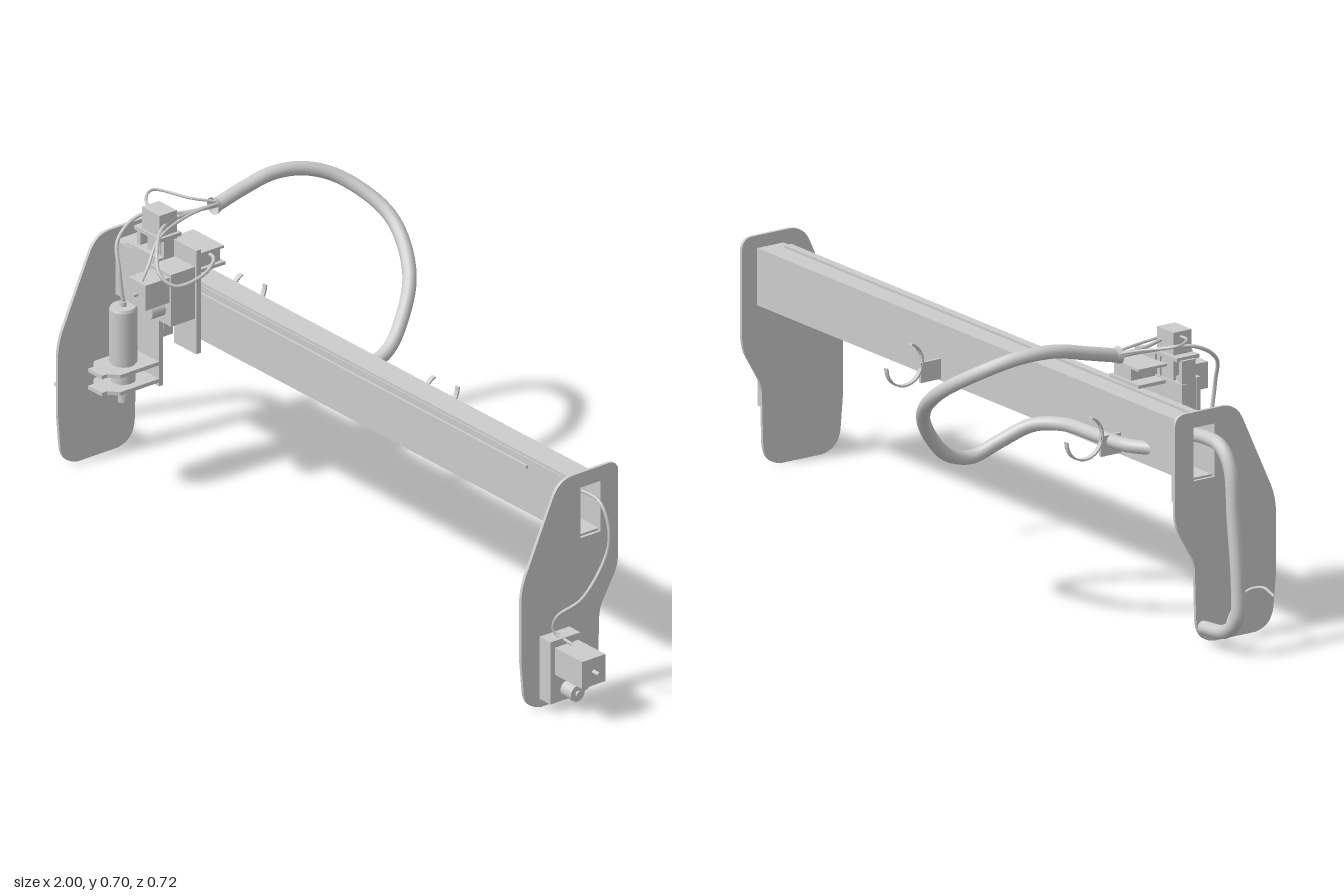
import * as THREE from 'three';

export function createModel() {
  const root = new THREE.Group();
  const mat = new THREE.MeshStandardMaterial({ color: 0xcccccc });
  const thin = new THREE.MeshStandardMaterial({ color: 0xcccccc, side: THREE.DoubleSide });

  const add = (name, geo, m = mat) => {
    const mesh = new THREE.Mesh(geo, m);
    mesh.name = name;
    root.add(mesh);
    return mesh;
  };
  // box from its limits on each axis
  const box = (name, x0, x1, y0, y1, z0, z1) =>
    add(name, new THREE.BoxGeometry(x1 - x0, y1 - y0, z1 - z0))
      .position.set((x0 + x1) / 2, (y0 + y1) / 2, (z0 + z1) / 2);
  // cylinder lying along x, y or z
  const cyl = (name, axis, r, len, x, y, z, r2 = r) => {
    const g = new THREE.CylinderGeometry(r, r2, len, 24);
    if (axis === 'x') g.rotateZ(Math.PI / 2);
    if (axis === 'z') g.rotateX(Math.PI / 2);
    add(name, g).position.set(x, y, z);
  };
  const tube = (name, pts, r, seg = 60, sides = 8) =>
    add(name, new THREE.TubeGeometry(
      new THREE.CatmullRomCurve3(pts.map(p => new THREE.Vector3(...p))), seg, r, sides), thin);
  // side profile given as (z, y), extruded along x
  const rectPath = (P, z0, z1, y0, y1) => {
    const p = new P();
    p.moveTo(-z0, y0); p.lineTo(-z0, y1); p.lineTo(-z1, y1); p.lineTo(-z1, y0);
    p.closePath();
    return p;
  };
  const extrudeX = (name, shape, x0, x1) => {
    const g = new THREE.ExtrudeGeometry(shape, { depth: x1 - x0, bevelEnabled: false, curveSegments: 10 });
    g.rotateY(Math.PI / 2);
    add(name, g).position.x = x0;
  };

  // end plates with rounded outline and cable window
  const plate = new THREE.Shape();
  plate.moveTo(-0.26, 0);
  plate.bezierCurveTo(-0.29, 0.005, -0.31, 0.02, -0.312, 0.06);
  plate.lineTo(-0.318, 0.13);
  plate.lineTo(-0.318, 0.28);
  plate.quadraticCurveTo(-0.317, 0.31, -0.305, 0.34);
  plate.lineTo(-0.225, 0.515);
  plate.quadraticCurveTo(-0.207, 0.554, -0.165, 0.554);
  plate.lineTo(-0.065, 0.554);
  plate.quadraticCurveTo(-0.035, 0.554, -0.035, 0.525);
  plate.lineTo(-0.035, 0.32);
  plate.quadraticCurveTo(-0.036, 0.29, -0.05, 0.267);
  plate.lineTo(-0.08, 0.215);
  plate.quadraticCurveTo(-0.091, 0.195, -0.091, 0.165);
  plate.lineTo(-0.094, 0.06);
  plate.quadraticCurveTo(-0.096, 0.005, -0.146, 0);
  plate.closePath();
  plate.holes.push(rectPath(THREE.Path, 0.087, 0.145, 0.39, 0.517));
  extrudeX('leftEndPlate', plate, 0.834, 0.842);
  extrudeX('rightEndPlate', plate, -0.842, -0.834);

  // hollow cross beam and its rails
  const beam = rectPath(THREE.Shape, 0.077, 0.151, 0.388, 0.524);
  beam.holes.push(rectPath(THREE.Path, 0.085, 0.144, 0.395, 0.518));
  extrudeX('crossBeam', beam, -0.834, 0.834);
  box('topRail', -0.8, 0.8, 0.524, 0.53, 0.128, 0.148);
  box('frontRack', -0.73, 0.66, 0.5, 0.508, 0.151, 0.157);

  // hose hooks behind the beam
  for (const x of [-0.57, 0.127]) {
    box('hookArm', x - 0.004, x + 0.004, 0.392, 0.44, 0.022, 0.077);
    const hook = new THREE.Shape();
    hook.absarc(0.023, 0.443, 0.052, 1.95, Math.PI * 2, false);
    hook.absarc(0.023, 0.443, 0.048, Math.PI * 2, 1.95, true);
    extrudeX('hoseHook', hook, x - 0.006, x + 0.006);
  }

  // drive unit on the left end plate
  box('driveBracket', 0.842, 0.882, 0.022, 0.178, 0.178, 0.265);
  box('driveMotor', 0.882, 0.98, 0.093, 0.161, 0.184, 0.252);
  cyl('driveMotorShaft', 'x', 0.005, 0.025, 0.988, 0.127, 0.218);
  cyl('driveRoller', 'x', 0.02, 0.04, 0.9, 0.049, 0.216);
  cyl('driveRollerPin', 'x', 0.007, 0.008, 0.922, 0.049, 0.216);
  tube('driveCable', [[0.72, 0.47, 0.12], [0.84, 0.495, 0.122], [0.89, 0.488, 0.124], [0.918, 0.43, 0.123],
    [0.918, 0.37, 0.132], [0.915, 0.28, 0.2], [0.87, 0.23, 0.236], [0.858, 0.19, 0.236], [0.9, 0.165, 0.216]], 0.004);

  // x carriage: plate, gearbox, motor and guide block
  box('carriagePlate', -0.7, -0.515, 0.43, 0.57, 0.158, 0.17);
  box('carriageLowerPlate', -0.595, -0.515, 0.36, 0.62, 0.158, 0.172);
  box('carriageGearbox', -0.593, -0.52, 0.448, 0.578, 0.172, 0.242);
  box('carriageMotor', -0.588, -0.525, 0.507, 0.57, 0.242, 0.312);
  cyl('carriageMotorShaft', 'z', 0.005, 0.02, -0.556, 0.538, 0.315);
  cyl('carriageRoller', 'z', 0.018, 0.042, -0.556, 0.483, 0.26);
  box('carriageTopPlate', -0.635, -0.52, 0.558, 0.566, 0.083, 0.172);
  box('carriageTopBlock', -0.595, -0.53, 0.566, 0.602, 0.09, 0.163);
  box('carriageTopLid', -0.635, -0.525, 0.598, 0.604, 0.083, 0.165);

  // vertical slide with its motor
  box('slideBase', -0.695, -0.602, 0.38, 0.58, 0.17, 0.2);
  box('slidePlate', -0.697, -0.6, 0.26, 0.58, 0.2, 0.212);
  for (const x of [-0.697, -0.612]) box('slideRail', x, x + 0.012, 0.4, 0.625, 0.16, 0.198);
  box('slideColumn', -0.66, -0.615, 0.55, 0.625, 0.162, 0.197);
  box('slideMotorFlange', -0.69, -0.595, 0.623, 0.632, 0.15, 0.213);
  box('slideMotor', -0.667, -0.603, 0.632, 0.686, 0.158, 0.208);

  // spindle held by two clamp plates
  const clamp = new THREE.Shape();
  clamp.moveTo(-0.048, -0.2); clamp.lineTo(0.048, -0.2); clamp.lineTo(0.048, -0.325);
  clamp.lineTo(0.025, -0.345); clamp.lineTo(0.025, -0.36); clamp.lineTo(-0.025, -0.36);
  clamp.lineTo(-0.025, -0.345); clamp.lineTo(-0.048, -0.325); clamp.closePath();
  for (const y of [0.27, 0.313]) {
    const g = new THREE.ExtrudeGeometry(clamp, { depth: 0.009, bevelEnabled: false });
    g.rotateX(-Math.PI / 2);
    add('spindleClamp', g).position.set(-0.648, y, 0);
  }
  const spindle = [[0, 0.22], [0.007, 0.22], [0.012, 0.225], [0.012, 0.245], [0.02, 0.247], [0.02, 0.262],
    [0.028, 0.264], [0.028, 0.325], [0.032, 0.327], [0.032, 0.458], [0.029, 0.465], [0, 0.465]];
  // each segment is its own band, which keeps the steps sharp
  for (let i = 0; i < spindle.length - 1; i++)
    add('spindle', new THREE.LatheGeometry(spindle.slice(i, i + 2).map(p => new THREE.Vector2(...p)), 28))
      .position.set(-0.648, 0, 0.278);
  cyl('spindleTopCap', 'y', 0.008, 0.012, -0.648, 0.47, 0.278);

  // main hose looping behind the beam
  tube('mainHose', [[-0.63, 0.648, 0.022], [-0.63, 0.668, -0.06], [-0.622, 0.685, -0.14], [-0.6, 0.68, -0.22],
    [-0.555, 0.65, -0.29], [-0.45, 0.58, -0.342], [-0.335, 0.49, -0.305], [-0.285, 0.405, -0.24],
    [-0.263, 0.355, -0.18], [-0.262, 0.339, -0.115], [-0.285, 0.37, -0.055], [-0.33, 0.41, 0.005],
    [-0.41, 0.424, 0.042], [-0.52, 0.425, 0.05], [-0.62, 0.425, 0.06], [-0.68, 0.427, 0.09]], 0.0165, 90, 12);
  add('hoseCollar', new THREE.CylinderGeometry(0.017, 0.021, 0.014, 16, 1, true).rotateX(-Math.PI / 2), thin)
    .position.set(-0.63, 0.648, 0.024);

  // hose leaving the right end plate
  tube('endHose', [[-0.72, 0.47, 0.12], [-0.84, 0.488, 0.122], [-0.9, 0.48, 0.122], [-0.935, 0.44, 0.122],
    [-0.955, 0.32, 0.118], [-0.975, 0.17, 0.115], [-0.975, 0.09, 0.112], [-0.93, 0.05, 0.112],
    [-0.845, 0.038, 0.112]], 0.0165, 60, 12);
  tube('endCable', [[-0.93, 0.06, 0.115], [-0.89, 0.08, 0.16], [-0.862, 0.11, 0.225], [-0.9, 0.125, 0.235],
    [-0.975, 0.13, 0.213]], 0.0035, 30);

  // loose cables on the head
  tube('headCable', [[-0.63, 0.648, 0], [-0.63, 0.652, 0.1], [-0.6, 0.657, 0.2], [-0.56, 0.635, 0.25],
    [-0.52, 0.59, 0.275], [-0.49, 0.565, 0.255], [-0.48, 0.575, 0.18], [-0.51, 0.59, 0.125],
    [-0.55, 0.59, 0.12]], 0.0045);
  tube('spindleCable', [[-0.632, 0.644, 0], [-0.645, 0.648, 0.1], [-0.69, 0.652, 0.2], [-0.685, 0.61, 0.265],
    [-0.66, 0.55, 0.28], [-0.648, 0.47, 0.278]], 0.0045);
  tube('motorCable', [[-0.628, 0.652, 0], [-0.61, 0.658, 0.12], [-0.575, 0.645, 0.235], [-0.55, 0.6, 0.285],
    [-0.55, 0.565, 0.305]], 0.0035);
  tube('slideMotorCable', [[-0.635, 0.652, 0.01], [-0.67, 0.662, 0.06], [-0.735, 0.678, 0.12],
    [-0.7, 0.677, 0.17], [-0.655, 0.672, 0.18]], 0.0035);

  return root;
}
